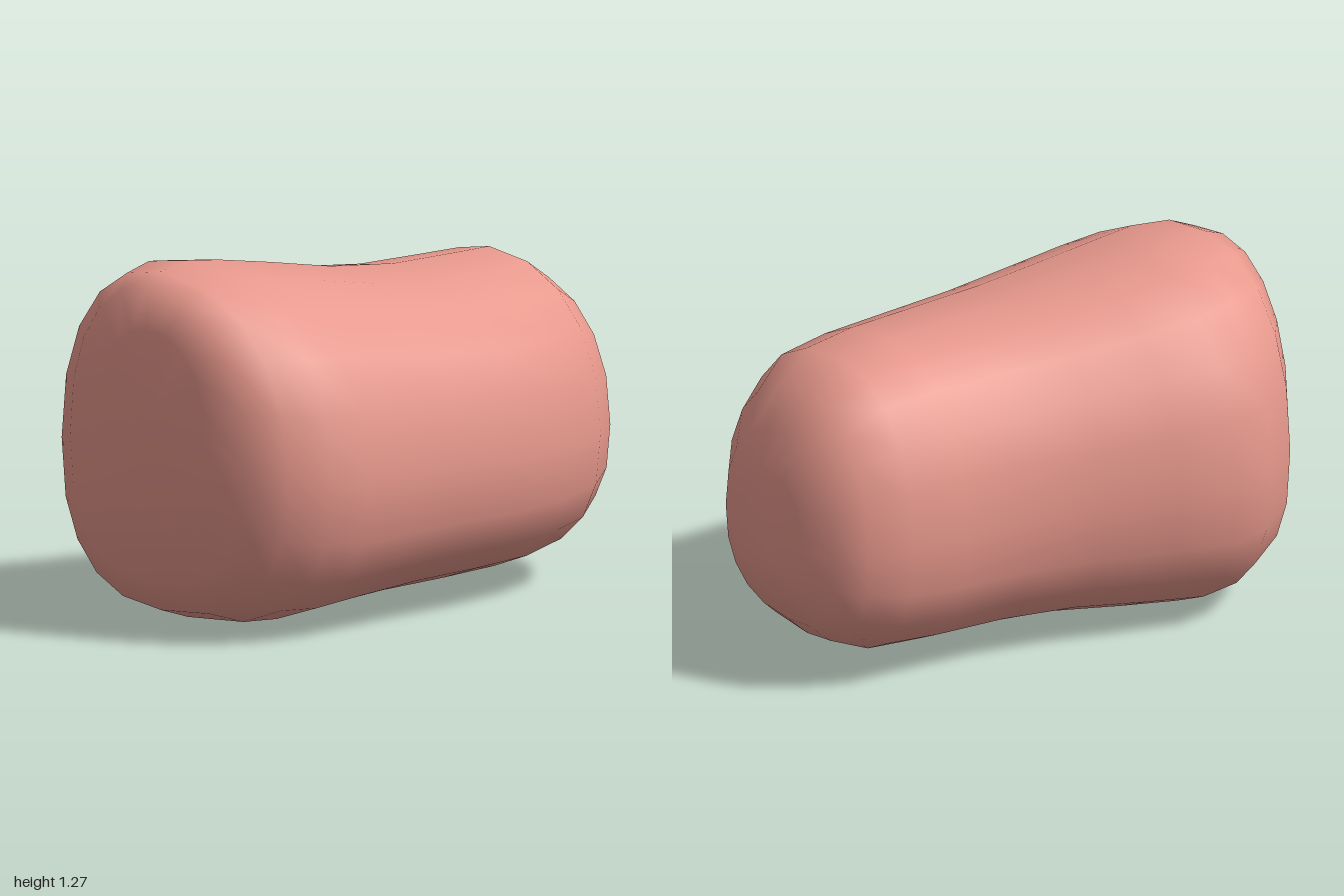
import * as THREE from 'three';

// Cross-sections along the body: x, top y, bottom y, front z, back z
const SECTIONS = [
  [-0.98, 1.09, 0.44, 0.28, -0.22],
  [-0.92, 1.22, 0.18, 0.43, -0.43],
  [-0.83, 1.26, 0.06, 0.54, -0.56],
  [-0.68, 1.275, 0.01, 0.61, -0.645],
  [-0.53, 1.255, 0.0, 0.64, -0.66],
  [-0.32, 1.22, 0.02, 0.645, -0.6],
  [-0.07, 1.175, 0.043, 0.655, -0.51],
  [0.2, 1.15, 0.05, 0.66, -0.44],
  [0.46, 1.145, 0.052, 0.635, -0.407],
  [0.68, 1.135, 0.075, 0.575, -0.393],
  [0.83, 1.045, 0.14, 0.475, -0.335],
  [0.92, 0.91, 0.22, 0.37, -0.265],
  [0.975, 0.78, 0.34, 0.22, -0.13],
];
const SIDES = 20;

// Rounded-square power curve that keeps the sign
const bulge = (v, n) => Math.sign(v) * Math.abs(v) ** (2 / n);

function bodyGeometry() {
  const positions = [];
  const index = [];

  for (const [x, top, bottom, front, back] of SECTIONS) {
    // the widest point sits a little low, the highest point a little to the back
    const cy = bottom + 0.45 * (top - bottom);
    const cz = back + 0.44 * (front - back);
    for (let j = 0; j < SIDES; j++) {
      const a = (j / SIDES) * Math.PI * 2;
      const s = Math.sin(a);
      const c = Math.cos(a);
      const n = s > 0 ? 2.2 : 2.45; // fuller underneath
      const y = cy + bulge(s, n) * (s > 0 ? top - cy : cy - bottom);
      const z = cz + bulge(c, n) * (c > 0 ? front - cz : cz - back);
      positions.push(x, y, z);
    }
  }

  // skin between neighbouring sections
  for (let i = 0; i < SECTIONS.length - 1; i++) {
    for (let j = 0; j < SIDES; j++) {
      const k = (j + 1) % SIDES;
      const a = i * SIDES + j;
      const b = i * SIDES + k;
      const c = a + SIDES;
      const d = b + SIDES;
      index.push(a, c, b, b, c, d);
    }
  }

  // gently domed ends
  const last = (SECTIONS.length - 1) * SIDES;
  const wideTip = positions.length / 3;
  positions.push(-1, 0.77, 0.02, 1, 0.48, 0.01);
  for (let j = 0; j < SIDES; j++) {
    const k = (j + 1) % SIDES;
    index.push(wideTip, j, k, wideTip + 1, last + k, last + j);
  }

  const geometry = new THREE.BufferGeometry();
  geometry.setAttribute('position', new THREE.Float32BufferAttribute(positions, 3));
  geometry.setIndex(index);
  geometry.computeVertexNormals();
  return geometry;
}

export function createModel() {
  const model = new THREE.Group();
  model.name = 'roundedLump';
  const body = new THREE.Mesh(
    bodyGeometry(),
    new THREE.MeshStandardMaterial({ color: 0xe8998d })
  );
  body.name = 'body';
  model.add(body);
  return model;
}
